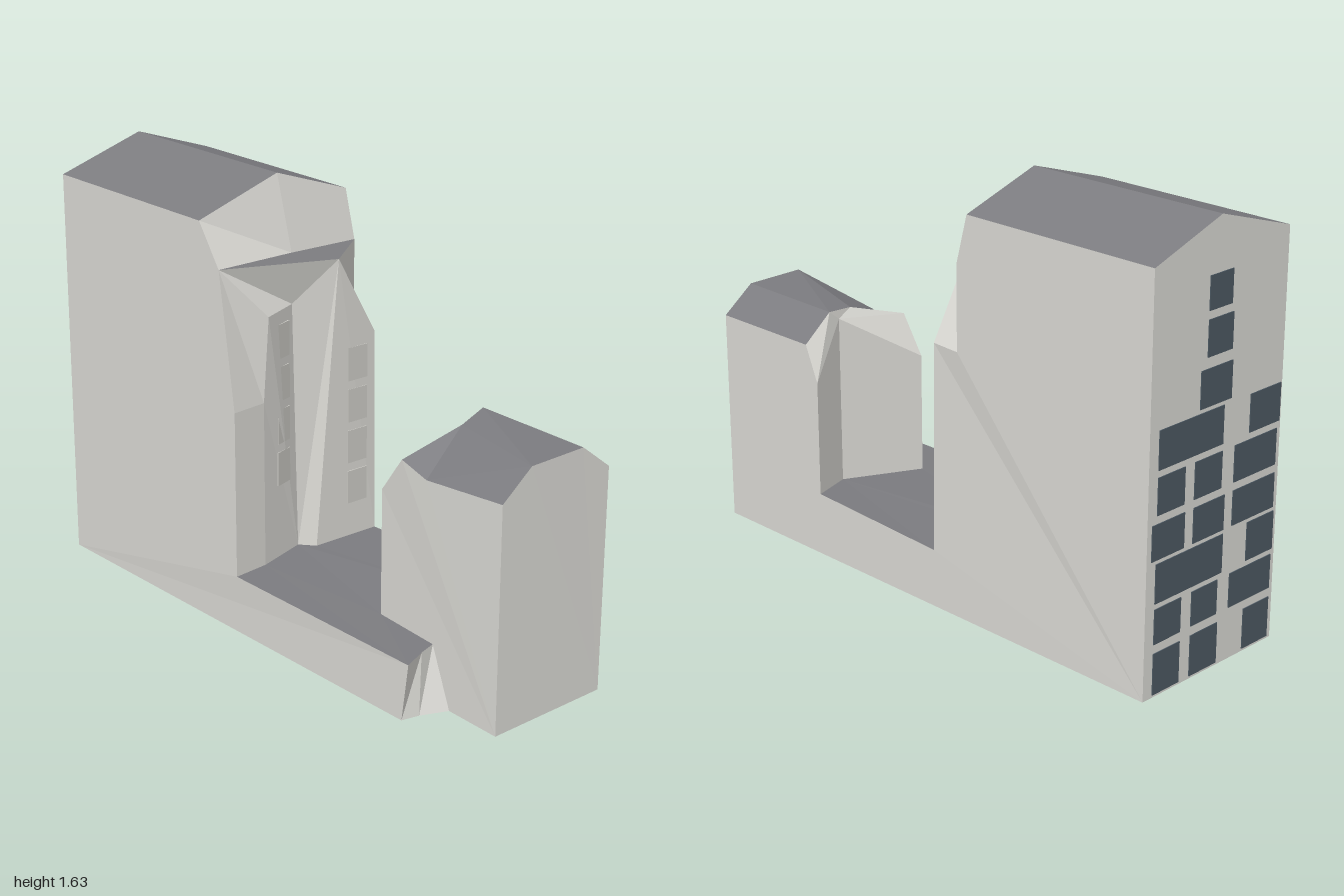
import * as THREE from 'three';

const mat = (name, color) => new THREE.MeshStandardMaterial({ name, color, flatShading: true, side: THREE.DoubleSide });

// Corner points [along the length, height, across the width]
const P = {
  // tall block: back gable, front eaves and cut front
  a0: [0, 0, 0], a1: [0, 0, 0.68], e0: [0, 1.525, 0], e1: [0, 1.525, 0.68], r: [0, 1.635, 0.325],
  f0: [0.837, 1.525, 0], f1: [0.84, 1.525, 0.68], fr: [0.833, 1.635, 0.322],
  g0: [0.887, 1.34, 0], g1: [0.947, 1.37, 0.68], gm: [1.017, 1.33, 0.188], gb: [0.91, 1.355, 0.32],
  i0: [0.887, 1.02, 0], h0: [1.013, 1.02, 0.01], h1: [1.025, 0.86, 0.68], hm: [1.012, 0.86, 0.536],
  c0: [0.953, 1.18, 0.355], c1: [1.017, 1.18, 0.515],
  k0: [1.013, 0.225, 0], ks: [1.005, 0.225, 0.283], kp: [0.951, 0.225, 0.329],
  kq: [1.012, 0.225, 0.536], k1: [1.025, 0.225, 0.68],
  // terrace and notch
  t0: [1.64, 0.25, 0], t1: [1.705, 0.24, 0.17], t2: [1.59, 0.225, 0.486],
  n0: [1.9, 0, 0.668], n1: [1.93, 0.22, 0.668], q0: [1.915, 0, 0.6], q1: [1.89, 0.22, 0.57],
  w0: [1.957, 0, 0.5], w1: [1.87, 0.22, 0.5],
  // low block
  b0: [2.18, 0, 0], b1: [2.18, 0.84, 0], b2: [2.18, 0.94, 0.13],
  d0: [2.185, 0, 0.505], d1: [2.185, 0.84, 0.505], d2: [2.185, 0.94, 0.376],
  s0: [1.64, 0.7, 0], s1: [1.7, 0.84, 0], R1: [1.705, 0.9, 0.17], R2: [1.59, 0.7, 0.486],
  m0: [1.7, 0.94, 0.12], m1: [1.735, 0.92, 0.253], l1: [1.7, 0.845, 0.498], l2: [1.824, 0.81, 0.5],
};

// Flat faces, each a loop of named corners
function shell(name, material, loops) {
  const pos = [];
  for (const loop of loops) {
    const c = loop.split(' ').map((k) => P[k]);
    for (let i = 1; i < c.length - 1; i++) pos.push(...c[0], ...c[i], ...c[i + 1]);
  }
  const g = new THREE.BufferGeometry();
  g.setAttribute('position', new THREE.Float32BufferAttribute(pos, 3));
  g.computeVertexNormals();
  const m = new THREE.Mesh(g, material);
  m.name = name;
  return m;
}

function plate(name, material, u, y0, y1, v0, v1, turn = 0) {
  const m = new THREE.Mesh(new THREE.BoxGeometry(0.009, y1 - y0, v1 - v0), material);
  m.position.set(u, (y0 + y1) / 2, (v0 + v1) / 2);
  m.rotation.y = turn;
  m.name = name;
  return m;
}

export function createModel() {
  const wall = mat('wall', 0xdad9d4);
  const roof = mat('roof', 0x7c7c80);
  const glass = mat('window glass', 0x4c5963);
  const panel = mat('front window', 0xcccbc5);

  const building = new THREE.Group();
  building.name = 'building';
  building.rotation.y = THREE.MathUtils.degToRad(-50);
  building.position.set(-0.44, 0, -1);

  // The shell is open underneath
  building.add(
    shell('tallBlockWalls', wall, [
      'a0 a1 e1 r e0', 'a1 k1 h1 g1 f1 e1', 'a0 e0 f0 g0 i0', 'a0 i0 h0 k0',
    ]),
    shell('tallBlockFront', wall, [
      'f1 gb fr', 'f1 g1 gb', 'fr gb g0', 'fr g0 f0', 'gm g0 i0', 'gm i0 h0',
      'k0 h0 gm', 'k0 gm ks', 'ks gm kp', 'kp gm c0', 'kp c0 c1 hm kq',
      'g1 c1 c0 gm', 'g1 h1 hm c1', 'kq hm h1 k1',
    ]),
    shell('tallBlockRoof', roof, ['e0 r fr f0', 'r e1 f1 fr']),
    shell('frontLedge', roof, ['g1 gm gb', 'gb gm g0']),
    shell('terrace', roof, ['k0 ks t1 t0', 'ks kp t1', 'kp kq t2 t1', 'kq k1 n1 t2', 't2 n1 q1 w1']),
    shell('baseWalls', wall, ['a1 n0 n1 k1', 'n0 q0 q1 n1', 'q0 w0 w1 q1', 'a0 k0 t0', 'a0 t0 b0']),
    shell('lowBlockWalls', wall, [
      'b0 t0 s0 s1 b1', 'b0 b1 b2 d2 d1 d0', 'd0 d1 l2 l1 R2 t2 w1 w0',
      't0 t1 R1 s0', 't1 t2 R2 R1', 's0 R1 m0 s1', 'R1 m1 m0', 'R1 R2 l1 m1',
    ]),
    shell('lowBlockRoof', roof, ['s1 m0 b2 b1', 'm0 m1 d2 b2', 'm1 l1 l2 d2', 'd2 l2 d1']),
  );

  // Back windows: bottom, top, then start and end of each pane across the width
  const rows = [
    [0.01, 0.165, [0.045, 0.18], [0.235, 0.378], [0.52, 0.66]],
    [0.2, 0.33, [0.045, 0.18], [0.235, 0.37], [0.435, 0.66]],
    [0.35, 0.495, [0.045, 0.39], [0.52, 0.665]],
    [0.51, 0.64, [0.022, 0.185], [0.23, 0.39], [0.435, 0.66]],
    [0.67, 0.805, [0.045, 0.18], [0.23, 0.37], [0.435, 0.66]],
    [0.83, 0.97, [0.045, 0.37], [0.51, 0.672]],
    [0.985, 1.12, [0.245, 0.405]],
    [1.16, 1.29, [0.274, 0.4]],
    [1.32, 1.44, [0.274, 0.39]],
  ];
  for (const [y0, y1, ...panes] of rows)
    for (const [v0, v1] of panes) building.add(plate('backWindow', glass, 0.001, y0, y1, v0, v1));

  // Front windows on the flat panel and in the recess
  for (let i = 0; i < 4; i++) {
    const y = 0.36 + i * 0.163;
    building.add(plate('frontWindow', panel, 1.012, y, y + 0.13, 0.047, 0.138, -0.02));
    building.add(plate('recessWindow', panel, 0.978, y + 0.15, y + 0.28, 0.382, 0.458, 0.286));
  }

  const model = new THREE.Group();
  model.name = 'model';
  model.add(building);
  return model;
}
